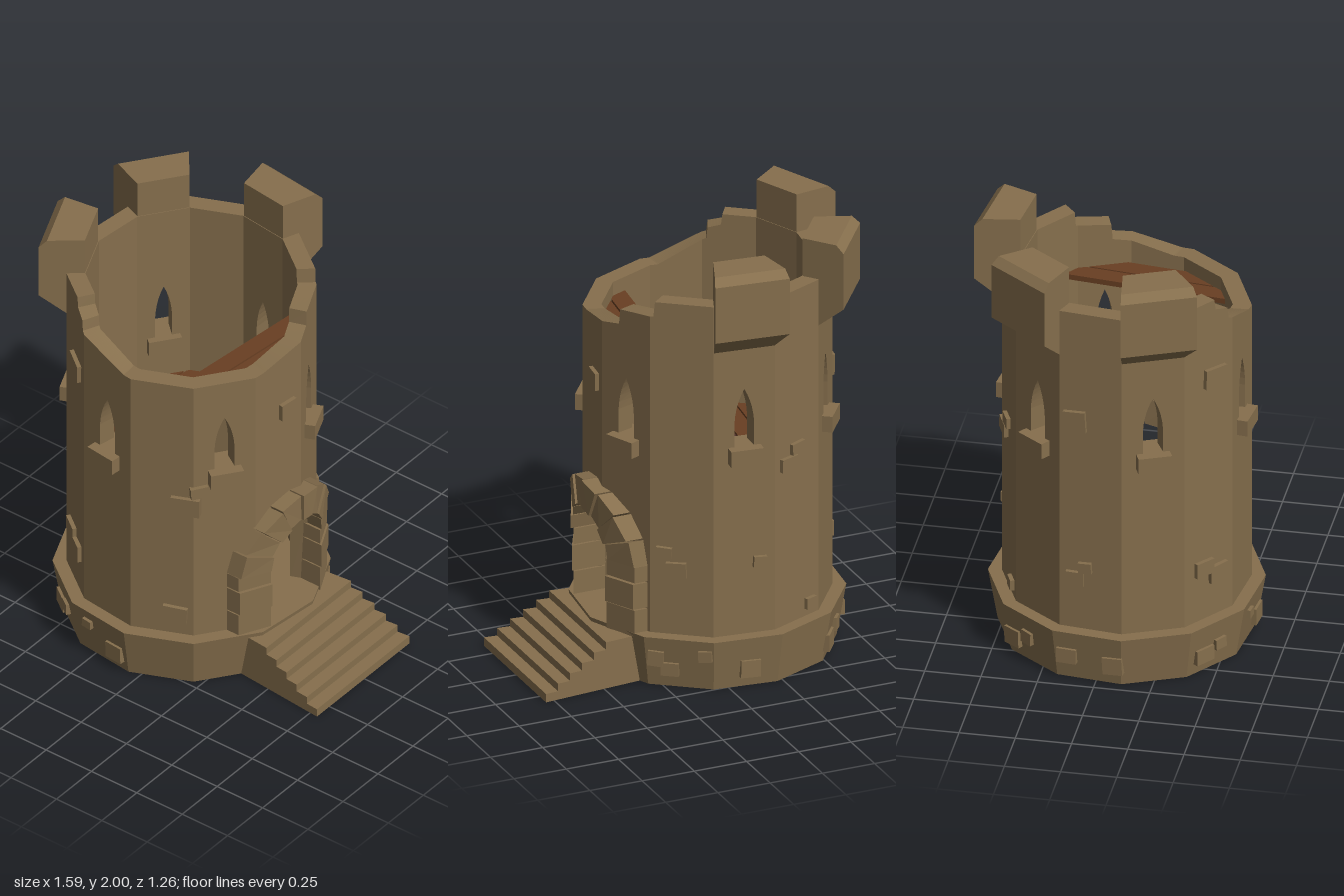
import * as THREE from 'three';

const mat = (name, color) => {
  const m = new THREE.MeshStandardMaterial({ color, flatShading: true });
  m.name = name;
  return m;
};
const RAD = Math.PI / 180;
const TURN = 6.5;            // facets are turned slightly off the axes
const APO = 0.527;           // distance of the outer wall faces from the axis
const THICK = 0.08;
const CX = -0.14, CZ = 0.03; // tower axis

// broken top edge of the wall: [angle from +x towards +z, height]
const TOP = [[-40.1, 1.82], [-40, 1.75], [-19.1, 1.73], [-19, 1.66], [16, 1.6], [86, 1.6],
  [114, 1.7], [114.2, 1.75], [122, 1.77], [122.2, 1.82], [319.9, 1.82]];

function topAt(a) {
  for (let i = 0; i < TOP.length - 1; i++) {
    const [a0, y0] = TOP[i], [a1, y1] = TOP[i + 1];
    if (a >= a0 && a <= a1) return y0 + (y1 - y0) * (a - a0) / (a1 - a0);
  }
  return 1.82;
}

const polygon = pts => new THREE.Shape(pts.map(p => new THREE.Vector2(p[0], p[1])));
const extrude = (shape, depth) => new THREE.ExtrudeGeometry(shape, { depth, bevelEnabled: false, curveSegments: 5 });

// moves every vertex by a rule
function reshape(geo, rule) {
  const p = geo.attributes.position, v = new THREE.Vector3();
  for (let i = 0; i < p.count; i++) {
    rule(v.fromBufferAttribute(p, i));
    p.setXYZ(i, v.x, v.y, v.z);
  }
  geo.computeVertexNormals();
  return geo;
}

export function createModel() {
  const model = new THREE.Group();
  model.name = 'ruinedTower';
  const stone = mat('stone', 0x866f4d);
  const wood = mat('plankBrown', 0x693f23);
  const darkWood = mat('plankDark', 0x4e2f2a);

  const add = (parent, name, geo, material = stone) => {
    const m = new THREE.Mesh(geo, material);
    m.name = name;
    parent.add(m);
    return m;
  };
  // group on the tower axis whose +z points towards an angle
  const facing = (name, angle) => {
    const g = new THREE.Group();
    g.name = name;
    g.position.set(CX, 0, CZ);
    g.rotation.y = (90 - angle) * RAD;
    model.add(g);
    return g;
  };

  // flared twelve-sided base
  const base = add(model, 'base', new THREE.CylinderGeometry(0.607, 0.565, 0.24, 12));
  base.position.set(CX, 0.12, CZ);
  base.rotation.y = (15 - TURN) * RAD;

  // wall panels with broken top, doorway notch and pointed windows
  const half = APO * Math.tan(15 * RAD);
  const DOOR_R = 0.195, SPRING = 0.55;
  const faces = [];
  for (let k = 0; k < 12; k++) {
    const angle = TURN + 30 * k;
    const face = facing('wallSide', angle);
    faces.push(face);
    const pts = [];
    const N = 40;
    for (let i = 0; i <= N; i++) {
      const x = -half + 2 * half * i / N;
      const z = APO * Math.sin(angle * RAD) - x * Math.cos(angle * RAD);
      const inDoor = Math.cos(angle * RAD) > 0.5 && Math.abs(z) < DOOR_R;
      pts.push([x, inDoor ? SPRING + Math.sqrt(DOOR_R ** 2 - z * z) : 0.22]);
    }
    for (let i = N; i >= 0; i--) {
      const x = -half + 2 * half * i / N;
      let a = angle - Math.atan(x / APO) / RAD;
      if (a > 319.9) a -= 360;
      pts.push([x, topAt(a)]);
    }
    const shape = polygon(pts);
    if (k % 2) {
      const hole = new THREE.Path();
      hole.moveTo(-0.045, 1.1);
      hole.lineTo(-0.045, 1.25);
      hole.quadraticCurveTo(-0.04, 1.34, 0, 1.41);
      hole.quadraticCurveTo(0.04, 1.34, 0.045, 1.25);
      hole.lineTo(0.045, 1.1);
      hole.closePath();
      shape.holes.push(hole);
      add(face, 'windowSill', new THREE.BoxGeometry(0.15, 0.075, 0.16)).position.set(0, 1.1, 0.495);
    }
    const geo = reshape(extrude(shape, THICK), v => {
      v.z += APO - THICK;
      v.x *= v.z / APO;
    });
    add(face, 'wall', geo);
  }

  // merlons, flared outwards with a sloping underside
  const profile = polygon([[0.45, 1.62], [0.51, 1.585], [0.645, 1.7], [0.645, 1.965], [0.61, 2], [0.45, 2]]);
  for (const a of [-90, -150, 150]) {
    const geo = reshape(extrude(profile, 1), v => {
      v.z = (v.z - 0.5) * 2 * (0.118 + (v.x - 0.45) * 0.27);
    });
    const m = add(model, 'merlon', geo);
    m.position.set(CX, 0, CZ);
    m.rotation.y = -(a + TURN) * RAD;
  }

  // doorway stones, bent to follow the round wall
  const door = new THREE.Group();
  door.name = 'doorway';
  door.position.set(CX, 0, CZ - 0.01);
  model.add(door);
  const addStone = (pts, proud) => {
    const geo = extrude(polygon(pts), 0.15 + proud);
    geo.rotateY(Math.PI / 2);
    add(door, 'doorStone', reshape(geo, v => {
      v.x += Math.sqrt(0.545 ** 2 - v.z * v.z) - 0.1;
    }));
  };
  const jamb = [0.22, 0.35, 0.475, 0.555];
  for (const s of [-1, 1]) {
    for (let i = 0; i < 3; i++) {
      const x0 = s > 0 ? 0.175 : -0.315, w = 0.14;
      const y0 = jamb[i] + 0.003, y1 = jamb[i + 1] - 0.003;
      addStone([[x0, y0], [x0 + w, y0], [x0 + w, y1], [x0, y1]], (i % 2) * 0.008);
    }
  }
  for (let i = 0; i < 8; i++) {
    const a0 = (i * 22.5 + 0.7) * RAD, a1 = ((i + 1) * 22.5 - 0.7) * RAD;
    const at = (a, r) => [Math.cos(a) * r, SPRING + Math.sin(a) * r];
    addStone([at(a0, 0.185), at(a0, 0.315), at(a1, 0.315), at(a1, 0.185)], 0.004 + (i % 2) * 0.01);
  }

  // stairs, widening slightly towards the ground
  const steps = [[0.3, 0], [0.79, 0]];
  for (let i = 0; i < 6; i++) {
    const x = 0.79 - i * 0.06, y = 0.04 + i * 0.036;
    steps.push([x, y], [i < 5 ? x - 0.06 : 0.3, y]);
  }
  add(model, 'stairs', reshape(extrude(polygon(steps), 1), v => {
    v.z = 0.01 + (v.z - 0.5) * 2 * (0.29 + (v.x - 0.36) * 0.093);
  }));

  // remaining floor planks, cut to the round of the inner wall
  const floors = new THREE.Group();
  floors.name = 'floors';
  floors.position.set(CX, 0, CZ);
  floors.rotation.y = -TURN * RAD;
  model.add(floors);
  const plank = (x0, x1, y, material) => {
    const e0 = Math.sqrt(0.465 ** 2 - x0 * x0), e1 = Math.sqrt(0.465 ** 2 - x1 * x1);
    const geo = extrude(polygon([[x0, -e0], [x1, -e1], [x1, e1], [x0, e0]]), 0.025);
    geo.rotateX(-Math.PI / 2);
    add(floors, 'floorPlank', geo, material).position.y = y;
  };
  plank(-0.145, -0.062, 0.9, darkWood);
  for (const x of [-0.24, -0.335, -0.43]) plank(x, x + 0.088, 0.9, wood);
  plank(0.26, 0.345, 1.51, wood);
  plank(0.353, 0.44, 1.51, wood);

  // loose bricks standing proud: [angle, height, width, brick height]
  const bricks = [
    [123, 1.44, 0.12, 0.09], [55, 0.95, 0.13, 0.09], [49, 1.03, 0.08, 0.055], [130, 0.5, 0.1, 0.07],
    [121, 0.45, 0.1, 0.08], [60, 0.35, 0.11, 0.08], [1, 1.33, 0.09, 0.08], [194, 1.28, 0.1, 0.1],
    [253, 1.01, 0.1, 0.06], [247, 1.07, 0.08, 0.05], [269, 0.58, 0.06, 0.05], [194, 0.49, 0.08, 0.07],
    [189, 0.55, 0.06, 0.05], [238, 0.3, 0.06, 0.05], [309, 0.55, 0.09, 0.07], [315, 0.63, 0.07, 0.05],
    [133, 0.09, 0.1, 0.07], [124, 0.12, 0.06, 0.05], [103, 0.175, 0.05, 0.04], [88, 0.09, 0.09, 0.08],
    [317, 0.14, 0.07, 0.07], [311, 0.09, 0.08, 0.06], [295, 0.17, 0.06, 0.05], [275, 0.09, 0.09, 0.08],
    [228, 0.09, 0.09, 0.08], [218, 0.13, 0.06, 0.06], [196, 0.12, 0.09, 0.07], [175, 0.1, 0.09, 0.08]];
  bricks.forEach(([a, y, w, h], i) => {
    const k = Math.round((a - TURN) / 30);
    const face = faces[(k + 12) % 12];
    const dist = y < 0.24 ? 0.546 + 0.04 * y / 0.24 : APO;
    const x = -dist * Math.tan((a - TURN - 30 * k) * RAD);
    const b = add(face, 'looseBrick', new THREE.BoxGeometry(w, h, 0.05));
    b.position.set(x, y, dist - 0.006);
    b.rotation.z = ((i * 7) % 5 - 2) * 0.03;
  });

  return model;
}
